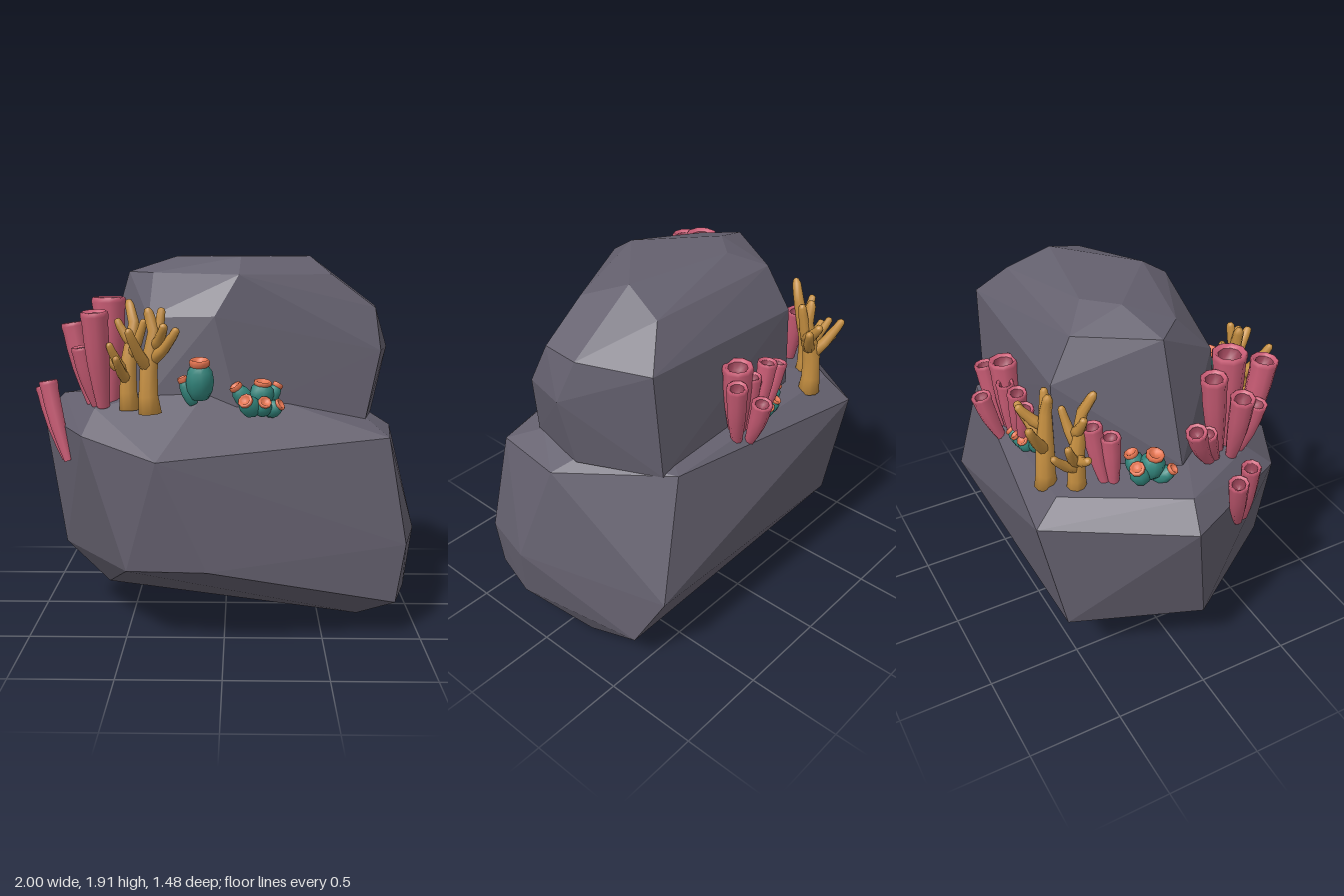
import * as THREE from 'three';
import { ConvexGeometry } from 'three/addons/geometries/ConvexGeometry.js';

const V = (x, y, z) => new THREE.Vector3(x, y, z);

function makeMaterial(name, color) {
  const m = new THREE.MeshStandardMaterial({ color });
  m.name = name;
  return m;
}

// One tilted level of a boulder: y = height + slope * x, corners as [x, z]
const level = (height, slope, corners) => corners.map(([x, z]) => V(x, height + slope * x, z));

// Sweeps a round section along a curve; profile holds [t, radius factor]
function sweep(curve, radius, profile, sides = 9) {
  const pos = [], idx = [];
  profile.forEach(([t, f]) => {
    const c = curve.getPoint(t), tan = curve.getTangent(t);
    const u = V(1, 0, 0.01);
    u.addScaledVector(tan, -u.dot(tan)).normalize();
    const v = tan.clone().cross(u);
    for (let j = 0; j < sides; j++) {
      const a = (j / sides) * Math.PI * 2;
      const p = c.clone().addScaledVector(u, f * radius * Math.cos(a)).addScaledVector(v, f * radius * Math.sin(a));
      pos.push(p.x, p.y, p.z);
    }
  });
  for (let i = 0; i < profile.length - 1; i++) {
    for (let j = 0; j < sides; j++) {
      const a = i * sides + j, b = i * sides + (j + 1) % sides;
      idx.push(a, b, b + sides, a, b + sides, a + sides);
    }
  }
  const g = new THREE.BufferGeometry();
  g.setAttribute('position', new THREE.Float32BufferAttribute(pos, 3));
  g.setIndex(idx);
  g.computeVertexNormals();
  return g;
}

// Tube stem that starts halfway between the clump's foot and its tip, then bows upward
function stem(foot, tip) {
  const base = foot.clone().lerp(tip, 0.5).setY(foot.y);
  const bend = base.clone().lerp(tip, 0.7).setY((base.y + tip.y) / 2);
  return new THREE.QuadraticBezierCurve3(base, bend, tip);
}

const TUBE = [[0, 0.48], [0.2, 0.64], [0.45, 0.82], [0.7, 0.92], [0.88, 0.95], [0.95, 1.02], [0.99, 1], [1, 0.88], [0.97, 0.66]];
const TUBE_HOLLOW = [[0.97, 0.66], [0.88, 0.52], [0.85, 0]];
const BODY = [[0, 0], [0, 0.65], [0.2, 0.93], [0.45, 1.04], [0.7, 0.92], [0.85, 0.62]];
const RIM = [[0.8, 0.6], [0.85, 0.74], [0.96, 0.76], [1, 0.64], [0.97, 0.48], [0.9, 0.38], [0.88, 0]];
const TWIG = [[0, 0], [0, 1], [0.4, 0.85], [0.8, 0.68], [0.94, 0.6], [0.985, 0.38], [1, 0]];
const TRUNK = [[0, 0], [0, 1.05], [0.15, 0.88], [0.4, 0.82], [0.8, 0.55], [0.95, 0.46], [0.99, 0.28], [1, 0]];

export function createModel() {
  const root = new THREE.Group();
  const rock = makeMaterial('rock grey', 0x64606e);
  const pink = makeMaterial('tube pink', 0xcb5d76);
  const pinkDark = makeMaterial('tube inside', 0x9a4458);
  const teal = makeMaterial('polyp teal', 0x33867d);
  const orange = makeMaterial('polyp orange', 0xe3734f);
  const ochre = makeMaterial('branch ochre', 0xc48e40);

  function add(parent, name, geometry, material) {
    const m = new THREE.Mesh(geometry, material);
    m.name = name;
    parent.add(m);
  }
  function group(name) {
    const g = new THREE.Group();
    g.name = name;
    root.add(g);
    return g;
  }

  // Lower boulder, top to bottom
  add(root, 'lowerBoulder', new ConvexGeometry([
    V(-0.05, 1.31, 0.33),
    ...level(1.14, -0.05, [[-0.65, 0.4], [-0.88, -0.05], [-0.55, -0.6], [0.72, 0.22], [0.74, -0.09], [0.58, -0.56]]),
    ...level(1.04, -0.02, [[-0.7, 0.53], [-1, -0.08], [-0.6, -0.73], [0.88, 0], [0.83, 0.39]]),
    V(-0.32, 0.97, 0.745),
    ...level(0.43, 0.06, [[-0.08, 0.73], [-0.48, 0.64], [-0.87, 0.06], [-0.63, -0.6], [0.77, -0.64], [1, 0.15], [0.92, 0.45]]),
    ...level(0.185, 0, [[0.87, 0.47], [0.95, 0.2], [0.83, -0.49]]),
    ...level(0.1106, -0.14, [[0.71, 0.17], [0.79, -0.13], [-0.62, 0.2], [-0.5, -0.2]]),
  ]), rock);

  // Upper boulder, top to bottom
  add(root, 'upperBoulder', new ConvexGeometry([
    ...level(1.915, 0, [[-0.26, -0.1], [-0.12, -0.25], [0.08, 0.2], [0.45, -0.14]]),
    ...level(1.83, -0.01, [[-0.51, -0.02], [-0.37, 0.13], [0.07, 0.33], [0.55, 0.08], [0.5, -0.36], [-0.28, -0.38]]),
    ...level(1.63, 0.03, [[-0.05, 0.4], [-0.38, 0.33], [0.78, 0.08], [0.8, -0.13], [0.66, -0.48], [-0.31, -0.5]]),
    ...level(1.44, 0, [[0.86, -0.06], [0.8, 0.18]]),
    ...level(1.16, -0.1, [[0.07, 0.43], [-0.4, 0.37], [-0.69, 0], [-0.33, -0.5], [0.62, -0.5], [0.79, -0.09], [0.72, 0.25]]),
  ]), rock);

  // Tube sponges: each clump has a foot and tips given as x, y, z, radius
  const tubes = group('tubeSponges');
  function tubeClump(foot, tips) {
    tips.forEach(([x, y, z, r]) => {
      const curve = stem(foot, V(x, y, z));
      add(tubes, 'tube', sweep(curve, r, TUBE), pink);
      add(tubes, 'tubeHollow', sweep(curve, r, TUBE_HOLLOW), pinkDark);
    });
  }
  tubeClump(V(-0.58, 1.18, 0.32), [
    [-0.63, 1.66, 0.47, 0.068], [-0.58, 1.72, 0.3, 0.085], [-0.71, 1.48, 0.39, 0.052], [-0.77, 1.59, 0.26, 0.06],
    [-0.64, 1.65, 0.18, 0.065], [-0.76, 1.47, 0.02, 0.052], [-0.74, 1.42, 0.1, 0.045],
  ]);
  tubeClump(V(-0.7, 0.88, 0.36), [[-0.91, 1.29, 0.24, 0.048], [-0.945, 1.25, 0.15, 0.05]]);
  tubeClump(V(-0.6, 1.17, -0.3), [[-0.53, 1.5, -0.4, 0.05], [-0.58, 1.45, -0.33, 0.05]]);
  tubeClump(V(0.08, 1.09, -0.52), [
    [-0.15, 1.42, -0.57, 0.046], [-0.06, 1.46, -0.57, 0.05], [0.01, 1.38, -0.54, 0.046], [0.07, 1.44, -0.58, 0.046],
    [0.15, 1.52, -0.55, 0.075], [0.13, 1.36, -0.69, 0.052], [0.24, 1.47, -0.62, 0.052],
  ]);

  // Cup polyps: foot and tips as above, each one pointing away from the foot
  const polyps = group('cupPolyps');
  function polypClump(foot, tips) {
    tips.forEach(([x, y, z, r]) => {
      const tip = V(x, y, z);
      const curve = new THREE.LineCurve3(foot.clone().lerp(tip, 0.35), tip);
      add(polyps, 'polypBody', sweep(curve, r, BODY), teal);
      add(polyps, 'polypRim', sweep(curve, r, RIM), orange);
    });
  }
  polypClump(V(-0.12, 1.13, 0.45), [[-0.12, 1.43, 0.5, 0.068], [-0.21, 1.34, 0.47, 0.034]]);
  polypClump(V(0.17, 1.13, 0.42), [
    [0.19, 1.32, 0.45, 0.06], [0.1, 1.24, 0.55, 0.05], [0.2, 1.23, 0.53, 0.044],
    [0.28, 1.21, 0.47, 0.042], [0.27, 1.3, 0.39, 0.036], [0.05, 1.3, 0.46, 0.045],
  ]);
  polypClump(V(-0.64, 1.14, -0.17), [
    [-0.69, 1.36, -0.15, 0.06], [-0.69, 1.31, -0.25, 0.05], [-0.59, 1.33, -0.23, 0.048], [-0.73, 1.27, -0.07, 0.04],
  ]);
  polypClump(V(-0.1, 1.1, -0.52), [
    [-0.21, 1.25, -0.53, 0.04], [-0.13, 1.22, -0.59, 0.038], [-0.06, 1.21, -0.6, 0.036], [0.01, 1.2, -0.6, 0.036],
  ]);

  // Branch corals: two trunks whose twigs fork off at a height; the back one mirrors the front
  const branches = group('branchCorals');
  function branchCoral(center, side) {
    const at = (x, y, z) => V(x, y, z * side).add(center);
    function trunk(x, z, r, top, twigs) {
      const path = new THREE.CatmullRomCurve3([at(x, 0, z), at(x - 0.01, top.y * 0.36, z),
        at(x + 0.03, top.y * 0.65, z - 0.02), at(top.x, top.y, top.z)]);
      add(branches, 'trunk', sweep(path, r, TRUNK), ochre);
      twigs.forEach(([fork, dx, dy, dz]) => {
        const start = path.getPoint(fork), end = at(dx, dy, dz);
        const bend = start.clone().lerp(end, 0.6).add(V(0, -0.04, 0));
        add(branches, 'twig', sweep(new THREE.QuadraticBezierCurve3(start, bend, end), r * 0.6, TWIG), ochre);
      });
    }
    trunk(-0.05, -0.06, 0.05, V(-0.06, 0.54, -0.16), [
      [0.3, -0.14, 0.34, 0.02], [0.35, -0.19, 0.28, -0.06], [0.5, 0.03, 0.45, -0.03], [0.25, -0.1, 0.28, 0.08],
      [0.6, -0.11, 0.45, -0.08],
    ]);
    trunk(0.06, 0.05, 0.055, V(0.05, 0.51, 0.02), [
      [0.5, 0.2, 0.42, 0.12], [0.55, 0.12, 0.51, 0.01], [0.4, -0.03, 0.42, 0.16], [0.65, 0.14, 0.44, 0.14],
    ]);
  }
  branchCoral(V(-0.42, 1.17, 0.48), 1);
  branchCoral(V(-0.47, 1.14, -0.54), -1);

  return root;
}
